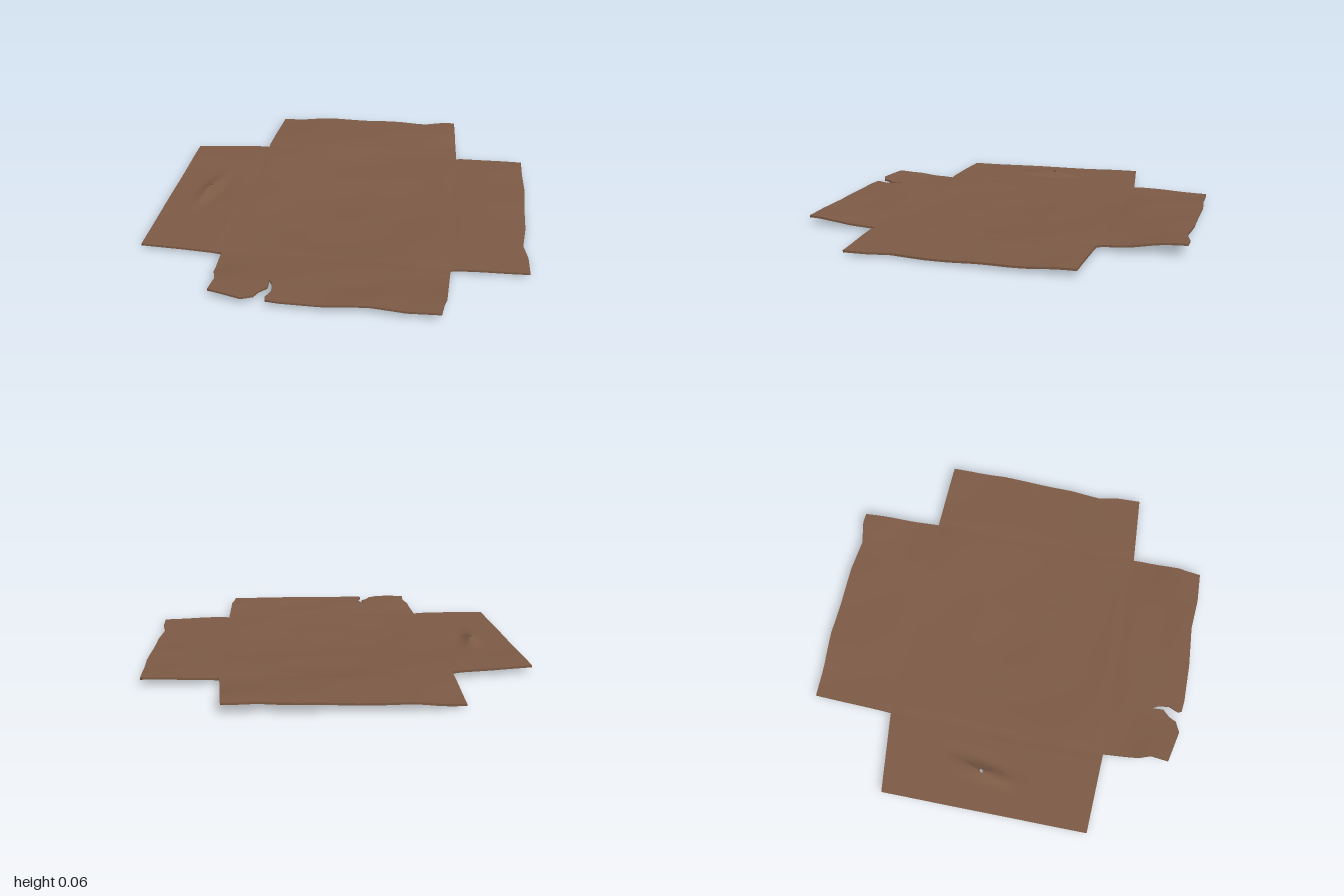
import * as THREE from 'three';
import { mergeVertices } from 'three/addons/utils/BufferGeometryUtils.js';

const THICKNESS = 0.01;
const MAX_EDGE = 0.035;

// Ragged outline of the unfolded sheet, as x, z pairs
const outline = [
  // back flap
  [-0.37, -0.625], [-0.26, -1], [-0.1, -0.96], [0.06, -0.93], [0.23, -0.88], [0.42, -0.83],
  [0.565, -0.775], [0.68, -0.77], [0.73, -0.755], [0.66, -0.37],
  // right-hand flap
  [1, -0.275], [0.97, -0.15], [0.94, 0], [0.89, 0.17], [0.84, 0.36], [0.785, 0.51],
  [0.78, 0.61], [0.755, 0.725], [0.405, 0.66],
  // front flap with its tear
  [0.34, 0.89], [0.32, 0.93], [0.295, 0.995], [0.15, 0.965], [0, 0.915], [-0.2, 0.88],
  [-0.38, 0.835], [-0.435, 0.815], [-0.435, 0.795], [-0.405, 0.755], [-0.4, 0.7], [-0.41, 0.67],
  [-0.42, 0.725], [-0.46, 0.75], [-0.485, 0.78], [-0.54, 0.79], [-0.61, 0.755], [-0.68, 0.72],
  [-0.65, 0.64], [-0.655, 0.58], [-0.625, 0.41],
  // left-hand flap
  [-1, 0.3], [-0.76, -0.67],
];
const puncture = [[-0.695, -0.185], [-0.682, -0.198], [-0.672, -0.19], [-0.685, -0.175]];

// Lines where the flaps fold
const folds = [
  [-0.37, -0.625, 0.66, -0.37], [0.66, -0.37, 0.405, 0.66],
  [0.405, 0.66, -0.625, 0.41], [-0.625, 0.41, -0.37, -0.625],
];

// Sag and curl of the sheet: x, z, height of the underside
const warp = [
  [0, 0, 0.002], [0.25, 0.1, 0.005], [-0.25, 0.1, 0.007], [0, 0.3, 0.01], [0.1, -0.3, 0.013],
  [-0.37, -0.625, 0.027], [0.66, -0.37, 0.022], [0.405, 0.66, 0.015], [-0.625, 0.41, 0.015],
  [-0.26, -1, 0.018], [0.06, -0.93, 0.035], [0.1, -0.7, 0.035], [0.42, -0.83, 0.042], [0.73, -0.755, 0.052],
  [1, -0.275, 0.028], [0.94, 0, 0.018], [0.84, 0.36, 0.01], [0.755, 0.725, 0.012],
  [0.295, 0.995, 0.035], [0, 0.9, 0.037], [0, 0.72, 0.025], [-0.38, 0.83, 0.03], [-0.68, 0.72, 0.038],
  [-1, 0.3, 0.017], [-0.87, -0.2, 0.022], [-0.76, -0.67, 0.028], [-0.5, -0.1, 0.016],
];

function segmentDistance(x, z, [ax, az, bx, bz]) {
  const dx = bx - ax, dz = bz - az;
  const t = THREE.MathUtils.clamp(((x - ax) * dx + (z - az) * dz) / (dx * dx + dz * dz), 0, 1);
  return Math.hypot(x - ax - t * dx, z - az - t * dz);
}

function underside(x, z) {
  let sum = 0, total = 0;
  for (const [px, pz, h] of warp) {
    const w = 1 / ((x - px) ** 2 + (z - pz) ** 2 + 0.004) ** 1.5;
    sum += w * h;
    total += w;
  }
  let y = sum / total;
  for (const f of folds) y -= 0.002 * Math.exp(-((segmentDistance(x, z, f) / 0.025) ** 2));
  // pinched ridge running through the puncture
  const u = (x + 0.69) * 0.4 - (z + 0.18) * 0.92;
  const v = (x + 0.69) * 0.92 + (z + 0.18) * 0.4;
  y += 0.024 * Math.exp(-((u / 0.12) ** 2) - (v / 0.03) ** 2);
  y -= 0.006 * Math.exp(-((u / 0.15) ** 2) - ((v - 0.06) / 0.03) ** 2);
  return Math.max(y, 0);
}

// Triangulate the outline, then halve long edges until the mesh is fine enough to bend
function triangulate() {
  const toVec = ([x, z]) => new THREE.Vector2(x, -z);
  const shape = new THREE.Shape(outline.map(toVec));
  shape.holes.push(new THREE.Path(puncture.map(toVec)));
  const flat = new THREE.ShapeGeometry(shape);
  const pos = flat.attributes.position, index = flat.index.array;
  const triangles = [];
  const split = (a, b, c) => {
    const ab = a.distanceTo(b), bc = b.distanceTo(c), ca = c.distanceTo(a);
    const longest = Math.max(ab, bc, ca);
    if (longest <= MAX_EDGE) return triangles.push([a, b, c]);
    if (bc === longest) [a, b, c] = [b, c, a];
    else if (ca === longest) [a, b, c] = [c, a, b];
    const m = a.clone().add(b).multiplyScalar(0.5);
    split(a, m, c);
    split(m, b, c);
  };
  for (let i = 0; i < index.length; i += 3) {
    split(...[0, 1, 2].map((k) => new THREE.Vector2().fromBufferAttribute(pos, index[i + k])));
  }
  return triangles;
}

function makeGeometry(points) {
  const geometry = new THREE.BufferGeometry();
  geometry.setAttribute('position', new THREE.Float32BufferAttribute(points.flat(), 3));
  const merged = mergeVertices(geometry, 1e-5);
  merged.computeVertexNormals();
  return merged;
}

export function createModel() {
  const group = new THREE.Group();
  group.name = 'flattenedCardboard';
  const cardboard = new THREE.MeshStandardMaterial({ color: 0x7d5b46 });
  cardboard.name = 'brown cardboard';

  const low = (p) => [p.x, underside(p.x, -p.y), -p.y];
  const high = (p) => [p.x, underside(p.x, -p.y) + THICKNESS, -p.y];
  const top = [], bottom = [], rim = [], edges = new Map();
  const key = (p) => `${p.x.toFixed(6)},${p.y.toFixed(6)}`;

  for (const [a, b, c] of triangulate()) {
    top.push(high(a), high(b), high(c));
    bottom.push(low(a), low(c), low(b));
    for (const [p, q] of [[a, b], [b, c], [c, a]]) {
      const reverse = `${key(q)}|${key(p)}`;
      if (!edges.delete(reverse)) edges.set(`${key(p)}|${key(q)}`, [p, q]);
    }
  }
  // Unshared edges form the cut rim of the sheet and the puncture
  for (const [p, q] of edges.values()) {
    rim.push(high(p), low(p), low(q), high(p), low(q), high(q));
  }

  for (const [name, points] of Object.entries({ topFace: top, bottomFace: bottom, cutEdge: rim })) {
    const mesh = new THREE.Mesh(makeGeometry(points), cardboard);
    mesh.name = name;
    group.add(mesh);
  }
  return group;
}
